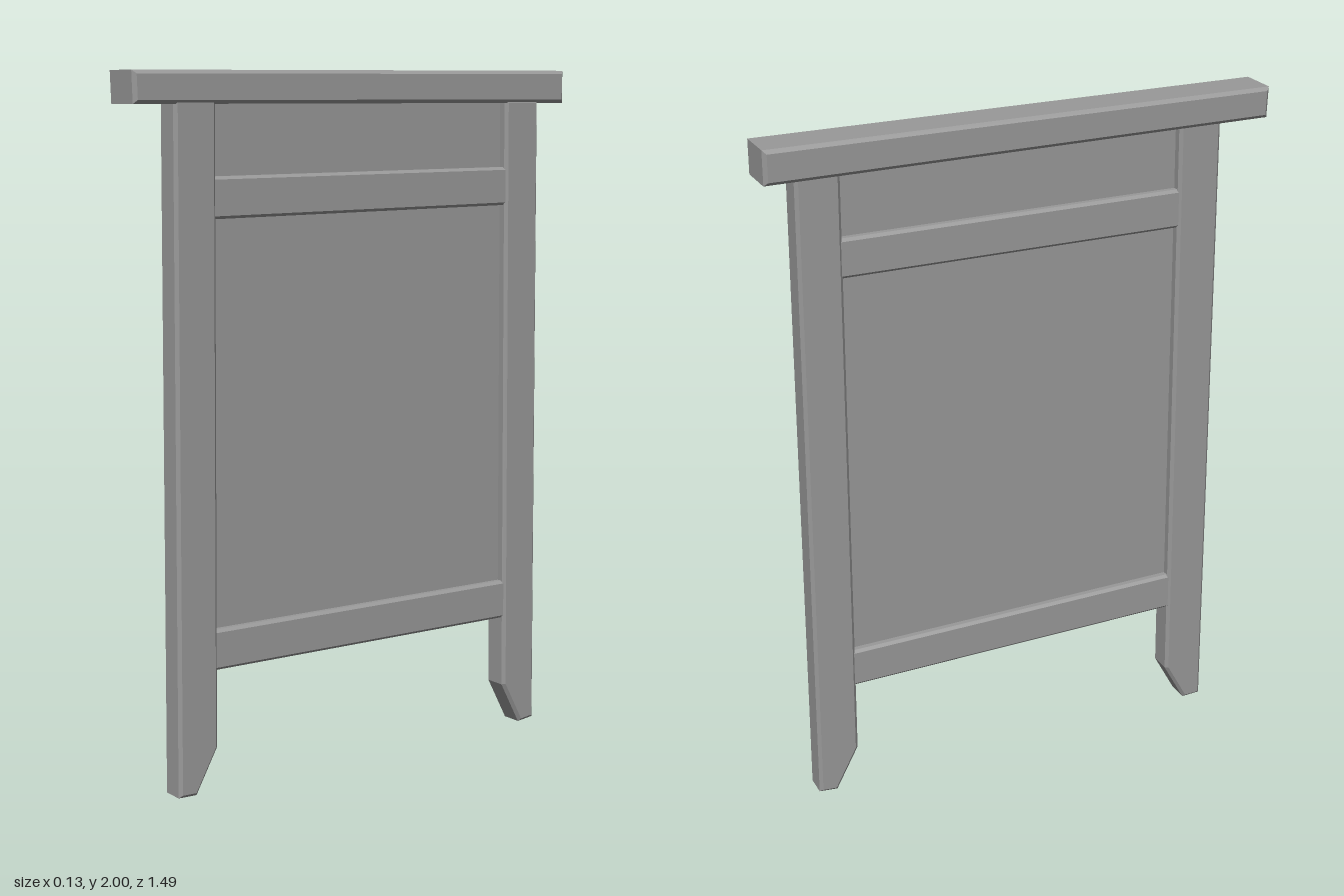
import * as THREE from 'three';

const grey = new THREE.MeshStandardMaterial({ color: 0x999999 });
grey.name = 'grey wood';

// Bevelled board: outline given as [z, y] corners, thickness runs along x
function board(name, corners, thickness, centreX, bevel) {
  const shape = new THREE.Shape(corners.map(([z, y]) => new THREE.Vector2(z, y)));
  const geometry = new THREE.ExtrudeGeometry(shape, {
    depth: thickness - 2 * bevel,
    bevelEnabled: bevel > 0,
    bevelThickness: bevel,
    bevelSize: bevel,
    bevelOffset: -bevel,
    bevelSegments: 1,
  });
  geometry.translate(0, 0, bevel - thickness / 2);
  geometry.rotateY(-Math.PI / 2);
  geometry.translate(centreX, 0, 0);
  const mesh = new THREE.Mesh(geometry, grey);
  mesh.name = name;
  return mesh;
}

export function createModel() {
  const group = new THREE.Group();
  group.name = 'woodenPanel';
  const x = 0.02; // posts, rails and panel sit slightly off the cap's centre

  // Cap beam, hewn a little out of level
  group.add(board('capBeam',
    [[-0.742, 1.905], [0.742, 1.902], [0.745, 1.99], [-0.742, 2.0]], 0.132, 0, 0.01));

  // Posts splay outwards and end in feet cut away on the inside
  group.add(board('frontPost',
    [[0.488, 1.915], [0.503, 0.13], [0.572, 0.004], [0.63, 0.006], [0.618, 1.915]], 0.08, x, 0.009));
  group.add(board('backPost',
    [[-0.52, 1.915], [-0.535, 0.13], [-0.604, 0.0], [-0.66, 0.006], [-0.646, 1.915]], 0.08, x, 0.009));

  // Cross rails, proud of the panel
  group.add(board('upperRail',
    [[-0.56, 1.605], [0.53, 1.596], [0.53, 1.71], [-0.56, 1.717]], 0.068, x, 0.008));
  group.add(board('lowerRail',
    [[-0.57, 0.342], [0.54, 0.35], [0.54, 0.465], [-0.57, 0.458]], 0.068, x, 0.008));

  // Thin infill panel
  group.add(board('panel',
    [[-0.56, 0.4], [0.53, 0.4], [0.53, 1.93], [-0.56, 1.93]], 0.022, x, 0));

  return group;
}
